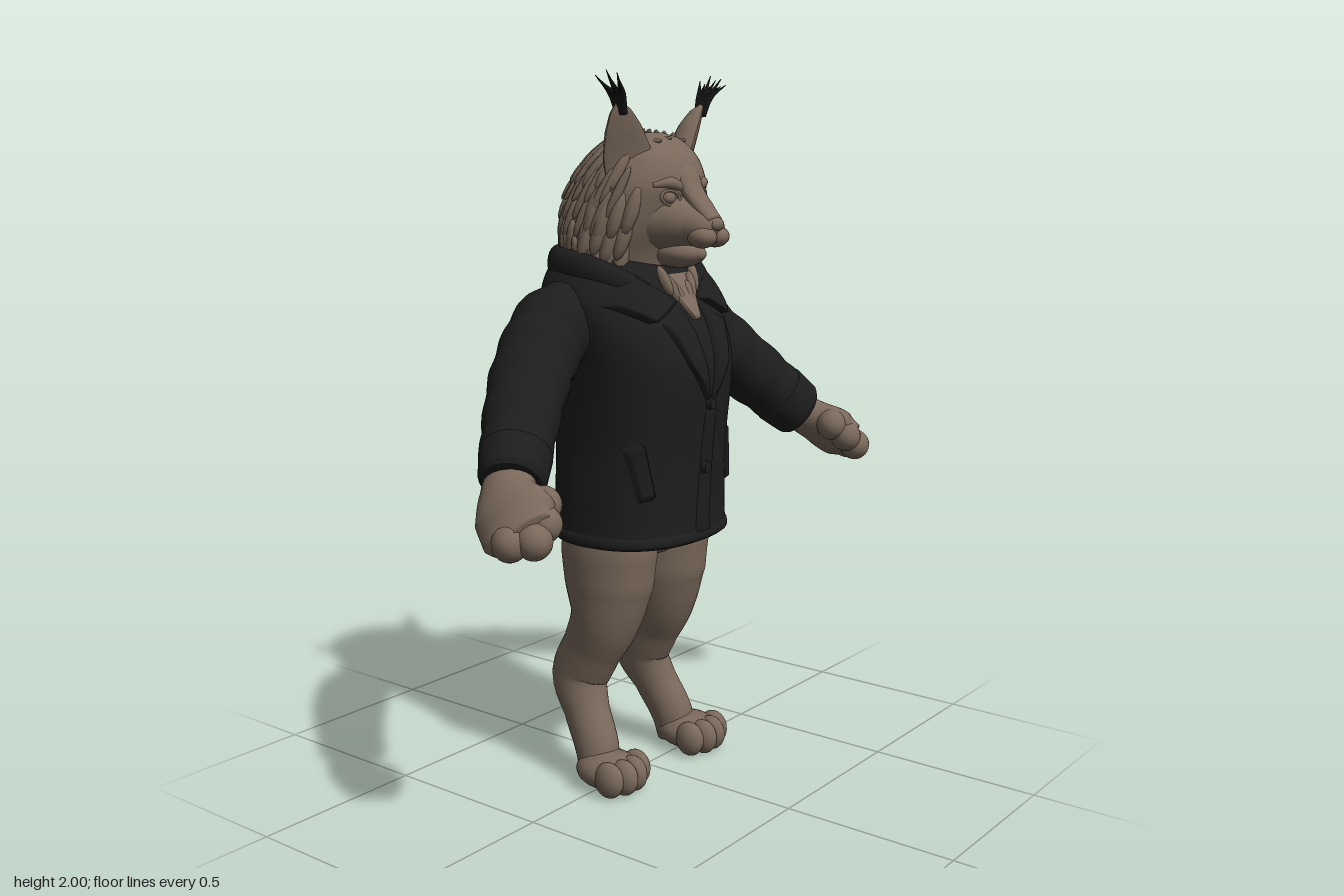
import * as THREE from 'three';
import { mergeGeometries } from 'three/addons/utils/BufferGeometryUtils.js';

const V = (x, y, z) => new THREE.Vector3(x, y, z);
const fur = new THREE.MeshStandardMaterial({ name: 'brown fur', color: 0x7a695b });
const cloth = new THREE.MeshStandardMaterial({ name: 'black cloth', color: 0x1d1d1d });
const black = new THREE.MeshStandardMaterial({ name: 'ear tuft black', color: 0x141414 });

// Surface from rings of points, closed around u, order: counter-clockwise from x to z, going up
function rings(list) {
  const n = list[0].length, pos = [], idx = [];
  list.forEach(r => r.forEach(p => pos.push(p.x, p.y, p.z)));
  for (let j = 0; j < list.length - 1; j++) for (let i = 0; i < n; i++) {
    const a = j * n + i, b = j * n + (i + 1) % n;
    idx.push(a, a + n, b, b, a + n, b + n);
  }
  const g = new THREE.BufferGeometry();
  g.setAttribute('position', new THREE.Float32BufferAttribute(pos, 3));
  g.setIndex(idx);
  g.computeVertexNormals();
  return g;
}

// Smooth lookup in a table of [y, halfWidth, zFront, zBack]
function rowAt(rows, y) {
  let i = 0;
  while (i < rows.length - 2 && y > rows[i + 1][0]) i++;
  const p = rows[i], q = rows[i + 1], h = q[0] - p[0], t = (y - p[0]) / h;
  const slope = (k, c) => {
    const a = rows[Math.max(k - 1, 0)], b = rows[Math.min(k + 1, rows.length - 1)];
    return (b[c] - a[c]) / (b[0] - a[0]) * h;
  };
  return [1, 2, 3].map(c => (2 * t ** 3 - 3 * t * t + 1) * p[c] + (t ** 3 - 2 * t * t + t) * slope(i, c)
    + (3 * t * t - 2 * t ** 3) * q[c] + (t ** 3 - t * t) * slope(i + 1, c));
}
function surfacePoint(rows, n, y, a, k = 1) {
  const [rx, zf, zb] = rowAt(rows, y), c = Math.cos(a), s = Math.sin(a);
  return V(k * rx * Math.sign(c) * Math.abs(c) ** (2 / n), y,
    (zf + zb) / 2 + k * (zf - zb) / 2 * Math.sign(s) * Math.abs(s) ** (2 / n));
}
function body(rows, n, seg = 48, sub = 5) {
  const list = [];
  const ring = (y, k) => list.push(Array.from({ length: seg }, (_, i) => surfacePoint(rows, n, y, i / seg * Math.PI * 2, k)));
  ring(rows[0][0], 0.001);
  rows.forEach((r, i) => {
    const next = rows[i + 1];
    for (let j = 0; j < (next ? sub : 1); j++) ring(next ? r[0] + (next[0] - r[0]) * j / sub : r[0], 1);
  });
  ring(rows.at(-1)[0], 0.001);
  return rings(list);
}

// Sweep along points [x, y, z, rA, rB]; rB runs along ref, rA across it
function limb(pts, { seg = 20, steps = 28, ref = V(0, 0, 1), hollow = 1, fold = 0 } = {}) {
  const curve = new THREE.CatmullRomCurve3(pts.map(p => V(p[0], p[1], p[2])));
  const list = [];
  for (let j = -1; j <= steps + 1; j++) {
    const t = Math.min(Math.max(j / steps, 0), 1), f = t * (pts.length - 1), i = Math.min(Math.floor(f), pts.length - 2);
    const k = j < 0 || j > steps ? 0.001 : 1 + fold * Math.sin(t * 42);
    const p = curve.getPoint(t), T = curve.getTangent(t);
    const B = ref.clone().addScaledVector(T, -ref.dot(T)).normalize(), A = T.clone().cross(B);
    const [ra, rb] = [3, 4].map(c => THREE.MathUtils.lerp(pts[i][c], pts[i + 1][c], f - i) * k);
    list.push(Array.from({ length: seg }, (_, m) => {
      const a = m / seg * Math.PI * 2, s = Math.sin(a);
      return p.clone().addScaledVector(A, Math.cos(a) * ra).addScaledVector(B, (s > 0 ? s * hollow : s) * rb);
    }));
  }
  return rings(list);
}

const ball = (x, y, z, rx, ry, rz) => new THREE.SphereGeometry(1, 20, 14).scale(rx, ry, rz).translate(x, y, z);

// Spindle-shaped lock of fur lying along a direction
function lock(p, dir, len, w) {
  const q = new THREE.Quaternion().setFromUnitVectors(V(0, 1, 0), dir.clone().normalize());
  return new THREE.SphereGeometry(1, 8, 6).scale(w, len / 2, w).applyQuaternion(q).translate(p.x, p.y, p.z);
}

function mirror(g) {
  const m = g.clone().scale(-1, 1, 1), ix = m.index.array;
  for (let i = 0; i < ix.length; i += 3) [ix[i], ix[i + 1]] = [ix[i + 1], ix[i]];
  return m;
}

const coatRows = [
  [0.715, 0.25, 0.19, -0.23], [0.725, 0.258, 0.202, -0.24], [0.742, 0.257, 0.202, -0.241], [0.752, 0.252, 0.197, -0.237],
  [0.85, 0.246, 0.198, -0.238], [1.0, 0.238, 0.207, -0.243], [1.2, 0.25, 0.222, -0.257], [1.3, 0.266, 0.193, -0.264],
  [1.38, 0.272, 0.145, -0.265], [1.44, 0.25, 0.105, -0.262], [1.5, 0.2, 0.065, -0.25]];
const headRows = [
  [1.38, 0.12, 0.08, -0.15], [1.46, 0.16, 0.075, -0.2], [1.52, 0.19, 0.09, -0.225], [1.58, 0.199, 0.12, -0.232],
  [1.65, 0.192, 0.147, -0.222], [1.7, 0.182, 0.157, -0.2], [1.76, 0.155, 0.143, -0.158], [1.8, 0.122, 0.115, -0.115],
  [1.825, 0.082, 0.085, -0.07], [1.838, 0.03, 0.05, -0.01]];

function coatFront(x, y) {
  const [rx, zf, zb] = rowAt(coatRows, y), n = 2.5;
  return (zf + zb) / 2 + (zf - zb) / 2 * Math.max(0, 1 - Math.abs(x / rx) ** n) ** (1 / n);
}

// Raised plate on the coat front; four corners counter-clockwise
function plate(c, lift) {
  const g = new THREE.PlaneGeometry(1, 1, 14, 14), p = g.attributes.position;
  for (let i = 0; i < p.count; i++) {
    const u = p.getX(i) + 0.5, v = p.getY(i) + 0.5;
    const [x, y] = [0, 1].map(k => (1 - v) * ((1 - u) * c[0][k] + u * c[1][k]) + v * ((1 - u) * c[3][k] + u * c[2][k]));
    const edge = Math.min(u, 1 - u, v, 1 - v);
    p.setXYZ(i, x, y, coatFront(x, y) + (edge < 0.01 ? -0.004 : lift));
  }
  g.computeVertexNormals();
  return g;
}

export function createModel() {
  const model = new THREE.Group();
  model.name = 'lynxInCoat';
  const add = (name, geo, mat) => {
    const m = new THREE.Mesh(geo, mat);
    m.name = name;
    model.add(m);
  };
  const pair = (name, geo, mat) => { add('left' + name, geo, mat); add('right' + name, mirror(geo), mat); };

  // Legs, feet and toes
  pair('Leg', limb([[0.185, 0.03, -0.03, 0.055, 0.055], [0.178, 0.1, -0.04, 0.06, 0.066], [0.162, 0.2, -0.092, 0.06, 0.07],
    [0.145, 0.29, -0.13, 0.066, 0.093], [0.14, 0.38, -0.09, 0.074, 0.092], [0.132, 0.48, -0.045, 0.097, 0.105],
    [0.125, 0.58, -0.037, 0.114, 0.135], [0.123, 0.68, -0.037, 0.12, 0.148], [0.12, 0.78, -0.03, 0.115, 0.14]], { seg: 28, steps: 40 }), fur);
  pair('Foot', ball(0.192, 0.054, 0.015, 0.086, 0.054, 0.1), fur);
  pair('Toes', mergeGeometries([[0.13, 0.064], [0.17, 0.084], [0.212, 0.084], [0.252, 0.064]]
    .map(([x, z]) => ball(x, 0.052, z, 0.032, 0.052, 0.047))), fur);
  add('belly', ball(0, 0.73, -0.02, 0.09, 0.085, 0.14), fur);

  // Short tail with rough fur
  const tail = [limb([[0, 0.735, -0.272, 0.012, 0.01], [0, 0.78, -0.264, 0.04, 0.032], [0, 0.85, -0.258, 0.05, 0.042],
    [0, 0.92, -0.252, 0.04, 0.04], [0, 0.97, -0.24, 0.018, 0.02]])];
  for (let i = 0; i < 9; i++) {
    const x = (i % 3 - 1) * 0.03, y = 0.79 + Math.floor(i / 3) * 0.05 + (i % 2) * 0.02;
    tail.push(lock(V(x, y, -0.288 + Math.abs(x) * 0.5), V(x * 5, -1, -0.05), 0.09, 0.014));
  }
  tail.forEach(g => g.deleteAttribute('uv'));
  add('tail', mergeGeometries(tail), fur);

  // Coat: body, sleeves, cuffs
  add('coatBody', body(coatRows, 2.4, 64), cloth);
  pair('Sleeve', limb([[0.19, 1.335, -0.1, 0.115, 0.11], [0.28, 1.315, -0.098, 0.118, 0.112], [0.36, 1.26, -0.08, 0.112, 0.108],
    [0.45, 1.185, -0.04, 0.104, 0.107], [0.55, 1.093, 0.02, 0.096, 0.098], [0.61, 1.035, 0.06, 0.09, 0.09],
    [0.645, 1.0, 0.085, 0.085, 0.08]], { seg: 28, steps: 60, fold: 0.025 }), cloth);
  pair('Cuff', limb([[0.595, 1.05, 0.05, 0.09, 0.086], [0.605, 1.04, 0.057, 0.097, 0.094], [0.655, 0.992, 0.091, 0.09, 0.085],
    [0.665, 0.983, 0.098, 0.08, 0.075]], { seg: 28 }), cloth);

  // Rolled collar, lapels, pockets, front edge and buttons
  const half = [[0.09, 1.4, 0.105, 0.016, 0.022], [0.165, 1.437, 0.06, 0.026, 0.034], [0.207, 1.47, -0.04, 0.03, 0.046],
    [0.172, 1.483, -0.175, 0.03, 0.05]];
  const collar = [...half, [0, 1.485, -0.238, 0.03, 0.05], ...half.map(p => [-p[0], ...p.slice(1)]).reverse()];
  add('collar', limb(collar, { ref: V(0, 1, 0), steps: 56 }), cloth);
  pair('CollarFlap', plate([[0.05, 1.39], [0.165, 1.335], [0.25, 1.385], [0.165, 1.47]], 0.024), cloth);
  pair('Lapel', plate([[0.045, 1.38], [0.005, 1.1], [0.085, 1.22], [0.135, 1.335]], 0.013), cloth);
  pair('Pocket', plate([[0.17, 0.86], [0.2, 0.85], [0.222, 1.0], [0.195, 1.02]], 0.012), cloth);
  add('frontEdge', plate([[-0.03, 0.72], [0.04, 0.72], [0.04, 1.12], [-0.012, 1.12]], 0.003), cloth);
  for (const y of [1.11, 0.93])
    add('button', new THREE.CylinderGeometry(0.015, 0.018, 0.014, 20).rotateX(Math.PI / 2).translate(0, y, coatFront(0, y) + 0.009), cloth);

  // Paws with four fingers
  pair('Paw', limb([[0.62, 1.02, 0.065, 0.055, 0.062], [0.685, 0.968, 0.105, 0.058, 0.072], [0.722, 0.935, 0.15, 0.058, 0.1],
    [0.745, 0.908, 0.195, 0.056, 0.104], [0.762, 0.89, 0.235, 0.04, 0.075]], { seg: 24 }), fur);
  pair('Fingers', mergeGeometries([[0.672, 0.95, 0.208], [0.707, 0.913, 0.24], [0.75, 0.88, 0.247], [0.784, 0.875, 0.2]]
    .map(p => ball(...p, 0.046, 0.047, 0.046))), fur);

  // Head with swept-back fur
  add('head', body(headRows, 2.1), fur);
  add('chestFur', plate([[-0.012, 1.335], [0.012, 1.335], [0.075, 1.46], [-0.075, 1.46]], 0.012), fur);
  const locks = [];
  for (let r = 0; r < 7; r++) for (let i = 0; i < 15; i++) {
    const wob = Math.sin(r * 7.3 + i * 12.9);
    const a = 0.3 - (i + (r % 2) / 2 + wob * 0.25) / 14.5 * (Math.PI + 0.6), y = 1.535 + r * 0.042 + wob * 0.018;
    const p = surfacePoint(headRows, 2.1, y, a), down = surfacePoint(headRows, 2.1, y - 0.04, a).sub(p).normalize();
    locks.push(lock(p, down.add(V(Math.cos(a) * 0.08, 0, Math.sin(a) * 0.08 - 0.15)), 0.13 + wob * 0.03, 0.014));
  }
  for (let i = 0; i < 9; i++) {
    const x = (i % 3 - 1) * 0.06 + Math.sin(i * 5) * 0.015, z = 0.06 - Math.floor(i / 3) * 0.06;
    locks.push(lock(V(x, 1.828 - x * x * 2 - z * z * 2.5, z), V(x, -0.15, -1), 0.08, 0.009));
  }
  add('headFur', mergeGeometries(locks), fur);

  // Cheek ruff and chest locks
  const ruff = [];
  for (let i = 0; i < 12; i++) {
    const a = 0.05 + (i % 4) * 0.2, y = 1.5 + Math.floor(i / 4) * 0.055 + (i % 3) * 0.012;
    ruff.push(lock(surfacePoint(headRows, 2.1, y, a, 0.98), V(0.2, -1, -0.25), 0.14, 0.021));
  }
  for (let i = 0; i < 3; i++) ruff.push(lock(V(0.02 + i * 0.022, 1.4 + i * 0.022, 0.13 - i * 0.008), V(-0.25, -1, 0.4), 0.09, 0.016));
  pair('CheekRuff', mergeGeometries(ruff), fur);

  // Muzzle, jaw and nose
  add('muzzle', limb([[0, 1.615, 0.05, 0.15, 0.105], [0, 1.603, 0.12, 0.105, 0.085], [0, 1.592, 0.175, 0.07, 0.06],
    [0, 1.583, 0.215, 0.052, 0.045], [0, 1.58, 0.24, 0.036, 0.032]], { ref: V(0, 1, 0), seg: 28 }), fur);
  add('noseBridge', limb([[0, 1.8, 0.08, 0.05, 0.02], [0, 1.73, 0.135, 0.05, 0.022], [0, 1.68, 0.16, 0.042, 0.024],
    [0, 1.64, 0.195, 0.037, 0.022], [0, 1.605, 0.232, 0.03, 0.015]]), fur);
  add('nose', ball(0, 1.597, 0.236, 0.028, 0.019, 0.018), fur);
  pair('WhiskerPad', ball(0.029, 1.563, 0.212, 0.037, 0.03, 0.042), fur);
  add('jaw', ball(0, 1.515, 0.11, 0.06, 0.04, 0.085), fur);
  add('tongue', ball(0, 1.515, 0.178, 0.024, 0.02, 0.022), fur);

  // Brows and eyes
  pair('Brow', limb([[0.03, 1.69, 0.145, 0.012, 0.014], [0.07, 1.705, 0.138, 0.017, 0.016], [0.115, 1.7, 0.108, 0.01, 0.012]]), fur);
  pair('Eye', ball(0.073, 1.666, 0.13, 0.023, 0.019, 0.02), fur);
  pair('Eyelid', new THREE.TorusGeometry(0.026, 0.005, 8, 20).scale(1.1, 0.75, 1).rotateZ(0.25).rotateY(0.4).translate(0.074, 1.666, 0.14), fur);

  // Cupped ears turned outwards, with black tufts
  pair('Ear', limb([[0.125, 1.73, 0.045, 0.07, 0.065], [0.143, 1.785, 0.047, 0.066, 0.065], [0.164, 1.845, 0.052, 0.05, 0.054],
    [0.18, 1.89, 0.055, 0.029, 0.034], [0.188, 1.915, 0.056, 0.008, 0.01]], { ref: V(0.6, 0, 0.8), hollow: 0.1 }), fur);
  const tuft = [];
  for (let i = 0; i < 8; i++) {
    const k = i / 7 - 0.5, out = (i % 3) * 0.012, top = 1.998 - Math.abs(k) * 0.03 - out;
    tuft.push(limb([[0.176, 1.885, 0.053 + k * 0.02, 0.009, 0.009], [0.195, 1.935, 0.055 + k * 0.04, 0.008, 0.008],
      [0.232 + out * 0.6, top, 0.055 + k * 0.085, 0.001, 0.001]], { seg: 6, steps: 8 }));
  }
  pair('EarTuft', mergeGeometries(tuft), black);
  return model;
}
